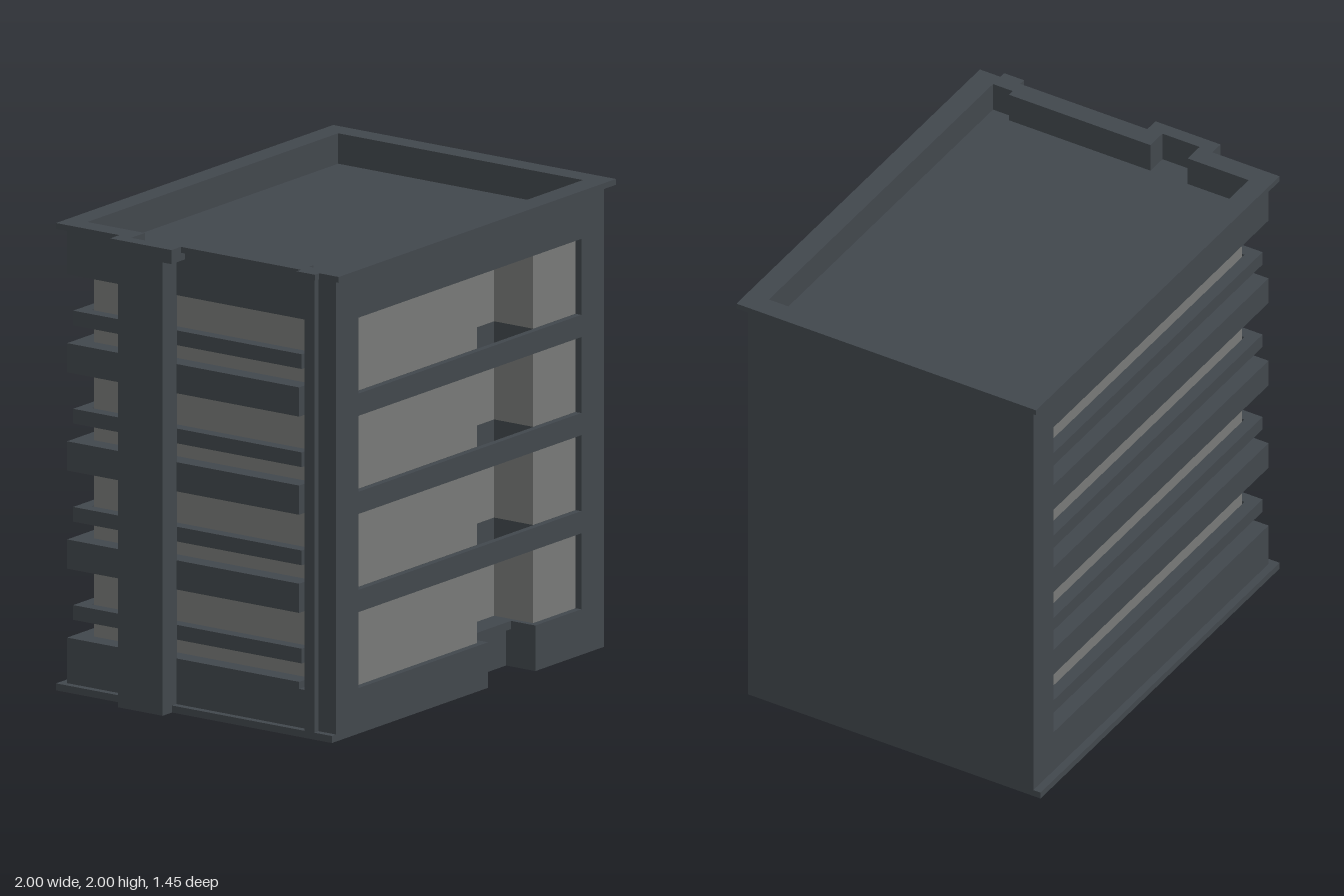
import * as THREE from 'three';

export function createModel() {
  const building = new THREE.Group();
  building.name = 'officeBuilding';
  const cladding = new THREE.MeshStandardMaterial({ color: 0x41474c });
  cladding.name = 'dark cladding';
  const glass = new THREE.MeshStandardMaterial({ color: 0x787977 });
  glass.name = 'grey glass';

  const add = (name, geometry, material = cladding) => {
    const mesh = new THREE.Mesh(geometry, material);
    mesh.name = name;
    building.add(mesh);
    return mesh;
  };
  // Box given by its limits
  const box = (name, x0, x1, y0, y1, z0, z1) => add(name,
    new THREE.BoxGeometry(x1 - x0, y1 - y0, z1 - z0)
      .translate((x0 + x1) / 2, (y0 + y1) / 2, (z0 + z1) / 2));
  const vectors = (points) => points.map(([x, y]) => new THREE.Vector2(x, y));
  // Floor plan of [x, z] points raised from y0 to y1
  const plan = (points) => points.map(([x, z]) => new THREE.Vector2(x, -z));
  const slab = (name, points, y0, y1, material, hole) => {
    const shape = new THREE.Shape(plan(points));
    if (hole) shape.holes.push(new THREE.Path(plan(hole)));
    return add(name, new THREE.ExtrudeGeometry(shape, { depth: y1 - y0, bevelEnabled: false })
      .rotateX(-Math.PI / 2).translate(0, y0, 0), material);
  };

  const L = -0.905, R = 0.965, B = -0.69, F = 0.69;
  const sills = [0.195, 0.615, 1.035, 1.455], winH = 0.325;
  const winL = -0.75, winR = 0.805, inner = 0.66, wallBack = 0.662;
  const raised = 0.03; // back and left sills sit a little higher

  // Inner core with a round-cornered recess behind the front
  const curve = new THREE.QuadraticBezierCurve(
    new THREE.Vector2(0.12, 0.55), new THREE.Vector2(0.12, 0.46), new THREE.Vector2(0.2, 0.46));
  const corePlan = [[-0.825, -0.61], [-0.825, inner], [0.12, inner],
    ...curve.getPoints(6).map((p) => [p.x, p.y]),
    [0.51, 0.46], [0.51, inner], [0.85, inner], [0.85, -0.61]];
  // Corner-wrapping plan for the back and left sides
  const wrapPlan = (inset, depth, right) => {
    const a = L + inset, b = B + inset;
    return [[a, b], [a, 0.5], [a + depth, 0.5], [a + depth, b + depth], [right, b + depth], [right, b]];
  };

  sills.forEach((y, i) => {
    const top = y + winH;
    slab('windowGlass', corePlan, y, top, glass);
    slab('sunLouver', wrapPlan(0.018, 0.055, 0.83), y + 0.105, y + 0.168);
    if (i < 3) {
      slab('floorCore', corePlan, top, sills[i + 1]);
      slab('spandrelBand', wrapPlan(0, 0.1, 0.85), top, sills[i + 1] + raised);
    }
  });

  // Base with the entrance notch, canopy and footing
  slab('base', [[L, B], [L, wallBack], [0.155, wallBack], [0.155, 0.54], [0.485, 0.54],
    [0.485, wallBack], [0.85, wallBack], [0.85, B]], 0, 0.195);
  slab('raisedSill', wrapPlan(0, 0.1, 0.85), 0.195, 0.195 + raised);
  box('entranceCanopy', 0.155, 0.485, 0.16, 0.195, 0.53, 0.565);
  box('backFooting', -0.935, R, 0, 0.03, -0.725, B + 0.01);
  box('leftFooting', -0.935, L + 0.01, 0, 0.03, B, F);

  // Front wall: the ground window joins the entrance, so it is part of the outline
  const front = new THREE.Shape(vectors([[L, 0], [0.155, 0], [0.155, 0.195], [winL, 0.195],
    [winL, 0.52], [winR, 0.52], [winR, 0.195], [0.485, 0.195], [0.485, 0], [R, 0], [R, 1.82], [L, 1.82]]));
  sills.slice(1).forEach((y) => {
    const top = y + winH;
    front.holes.push(new THREE.Path(vectors([[winL, y], [winL, top], [winR, top], [winR, y]])));
  });
  add('frontWall', new THREE.ExtrudeGeometry(front, { depth: F - wallBack, bevelEnabled: false })
    .translate(0, 0, wallBack));

  // Solid right wall and front left corner
  box('rightWall', winR, R, 0, 1.78, B, wallBack);
  box('cornerColumn', L, winL - 0.01, 0, 1.78, 0.53, wallBack);
  box('cornerGroove', -0.84, winL - 0.01, 0, 1.78, 0.49, 0.54);
  box('cornerFin', -0.935, -0.88, 0, 1.975, 0.55, 0.6);

  // Left pier with a wider head
  box('pier', -1, L + 0.005, 0, 1.78, -0.36, -0.13);
  box('pierHeadBack', -1, L, 1.94, 1.975, -0.4, -0.36);
  box('pierHeadFront', -1, L, 1.94, 1.975, -0.13, -0.085);

  // Parapet, coping and sunken roof deck
  const roofHole = [[-0.845, -0.63], [-0.845, -0.335], [-0.94, -0.335], [-0.94, -0.155],
    [-0.845, -0.155], [-0.845, 0.53], [-0.875, 0.53], [-0.875, 0.625], [0.905, 0.625], [0.905, -0.63]];
  slab('parapet', [[L, B], [L, -0.36], [-1, -0.36], [-1, -0.13], [L, -0.13],
    [L, wallBack], [R, wallBack], [R, B]], 1.78, 1.975, cladding, roofHole);
  box('frontParapet', L, R, 1.82, 1.975, wallBack, F);
  slab('coping', [[-0.935, -0.725], [-0.935, -0.4], [-1, -0.4], [-1, -0.085], [-0.935, -0.085],
    [-0.935, 0.53], [-0.965, 0.53], [-0.965, 0.625], [-0.935, 0.625], [-0.935, 0.725],
    [1, 0.725], [1, -0.725]], 1.975, 2, cladding, roofHole);
  slab('roofDeck', roofHole, 1.78, 1.87);

  return building;
}
